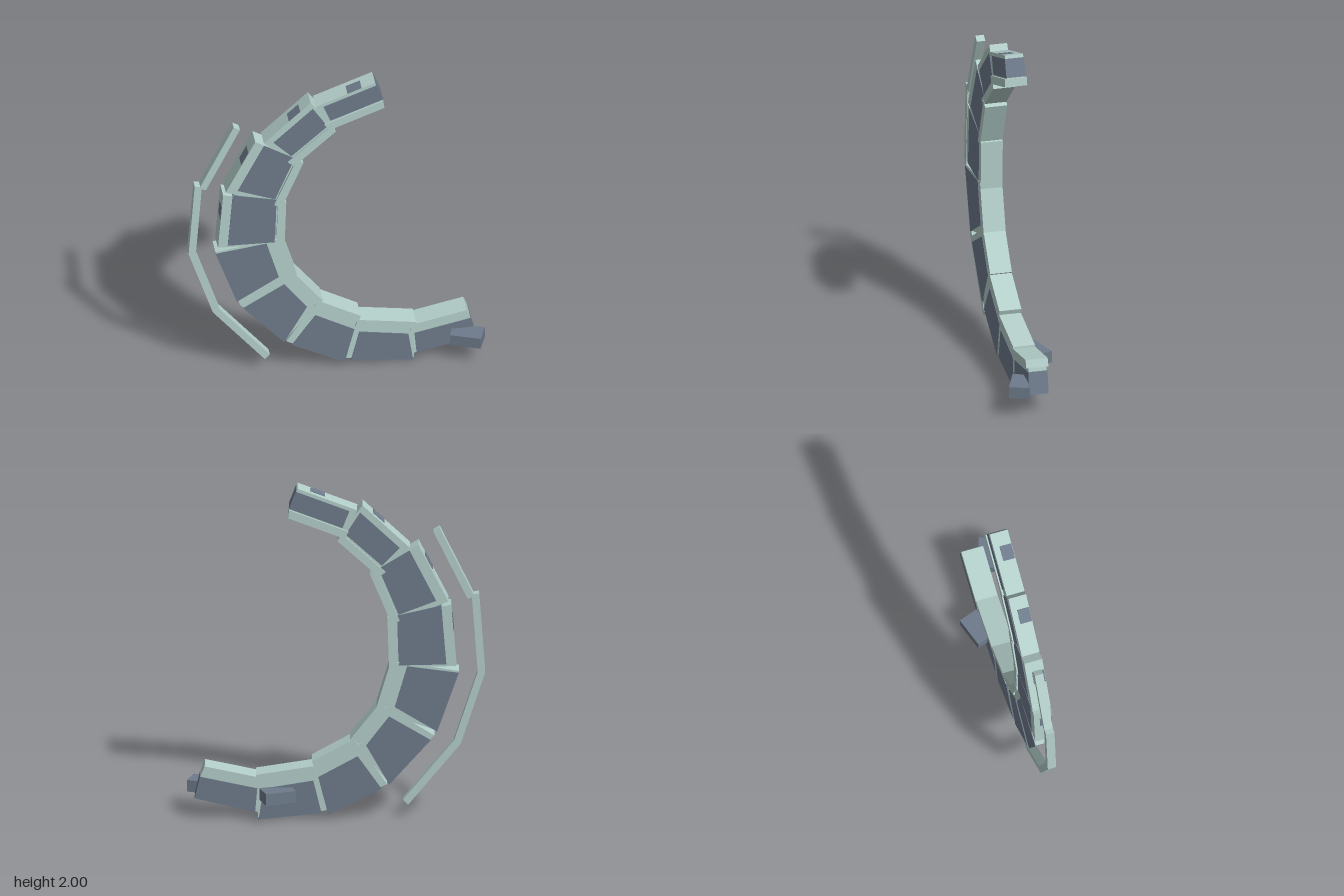
import * as THREE from 'three';

const light = new THREE.MeshStandardMaterial({ color: 0xb4cfca });
light.name = 'pale teal';
const dark = new THREE.MeshStandardMaterial({ color: 0x6e7b8b });
dark.name = 'slate';

// Upright prism from a front outline, between two depths
function prism(name, points, z0, z1, material) {
  const geo = new THREE.ExtrudeGeometry(new THREE.Shape(points), { depth: z1 - z0, bevelEnabled: false });
  geo.translate(0, 0, z0);
  const mesh = new THREE.Mesh(geo, material);
  mesh.name = name;
  return mesh;
}

// Local frame of an outer edge: u runs along it, v points into the arc
function edgeFrame(ax, ay, bx, by) {
  const length = Math.hypot(bx - ax, by - ay);
  const dx = (bx - ax) / length, dy = (by - ay) / length;
  const at = (u, v) => new THREE.Vector2(ax + dx * u - dy * v, ay + dy * u + dx * v);
  return { length, at };
}

// Outer edge from and to, inner widths, inner end tapers,
// then panel insets: start, end, outer, inner, and extra at the inner end
const segments = [
  [0.22, 2, -0.12, 1.87, 0.135, 0.135, 0, 0, -0.003, 0.04, 0.02, 0.005, 0],
  [-0.15, 1.9, -0.42, 1.645, 0.205, 0.2, 0.03, 0, 0.02, 0.04, 0.04, 0.012, 0],
  [-0.47, 1.66, -0.64, 1.32, 0.277, 0.3, 0.02, 0.02, 0.005, 0.035, 0.06, 0.01, 0],
  [-0.655, 1.3, -0.685, 0.93, 0.32, 0.335, 0.04, 0.015, 0, 0.015, 0.055, 0.008, 0],
  [-0.7, 0.9, -0.575, 0.54, 0.338, 0.324, 0.06, 0, 0.01, -0.005, -0.003, 0.05, 0.06],
  [-0.56, 0.51, -0.305, 0.22, 0.315, 0.298, 0.05, 0.045, 0.034, -0.006, -0.003, 0.046, 0.045],
  [-0.29, 0.215, 0.045, 0.04, 0.282, 0.274, 0.03, 0.055, 0.04, -0.005, -0.009, 0.055, 0],
  [0.055, 0.055, 0.445, 0.012, 0.23, 0.213, 0.025, 0.008, 0.03, 0.002, -0.011, 0.042, 0.04],
  [0.44, 0.045, 0.803, 0.13, 0.16, 0.153, 0.02, 0, 0.022, -0.003, -0.003, 0.022, 0],
];

function makeSegment([ax, ay, bx, by, w0, w1, t0, t1, start, end, outer, inner, extra], i) {
  const { length: L, at } = edgeFrame(ax, ay, bx, by);
  const segment = new THREE.Group();
  segment.name = 'segment' + (i + 1);
  const body = [at(0, 0), at(L, 0), at(L - t1, w1), at(t0, w0)];
  const panel = [
    at(start, outer), at(L - end, outer),
    at(L - t1 - end - extra, w1 - inner), at(t0 + start, w0 - inner),
  ];
  const rail = [at(t0, w0), at(L - t1, w1), at(L - t1 - 0.008, w1 + 0.048), at(t0 + 0.012, w0 + 0.048)];
  // Alternate depths keep overlapping neighbours from flickering
  const step = (i % 2) * 0.001;
  segment.add(
    prism('body', body, -0.055 + step, 0.052 - step, light),
    prism('panel', panel, -0.058, 0.055, dark),
    prism('innerRail', rail, -0.066 + step, 0.064 - step, light),
  );
  // Thin slate patch on the outer edge of the upper segments
  if (i < 4) {
    const patch = [at(L * 0.22, -0.003), at(L * 0.46, -0.003), at(L * 0.46, 0.002), at(L * 0.22, 0.002)];
    segment.add(prism('edgePatch', patch, -0.02, 0.05, dark));
  }
  return segment;
}

// Thin detached guard bars outside the arc
const bars = [
  [-0.59, 1.755, -0.79, 1.34],
  [-0.815, 1.36, -0.85, 0.88],
  [-0.85, 0.88, -0.71, 0.45],
  [-0.71, 0.45, -0.41, 0.08],
];

function makeBar(edge, i) {
  const { length: L, at } = edgeFrame(...edge);
  const outline = [at(0, 0), at(L, 0), at(L - 0.006, 0.042), at(0.004, 0.042)];
  return prism('guardBar' + (i + 1), outline, -0.028, 0.022, light);
}

// Slanted pegs near the lower tip, one on each face
function makePeg(name, x, z, turn) {
  const peg = new THREE.Mesh(new THREE.BoxGeometry(0.18, 0.07, 0.115), dark);
  peg.name = name;
  peg.position.set(x, 0.16, z);
  peg.rotation.y = turn;
  return peg;
}

export function createModel() {
  const group = new THREE.Group();
  group.name = 'crescent';
  group.add(...segments.map(makeSegment), ...bars.map(makeBar));
  group.add(makePeg('backPeg', 0.333, -0.095, 0.34), makePeg('frontPeg', 0.748, 0.092, -0.36));
  return group;
}
